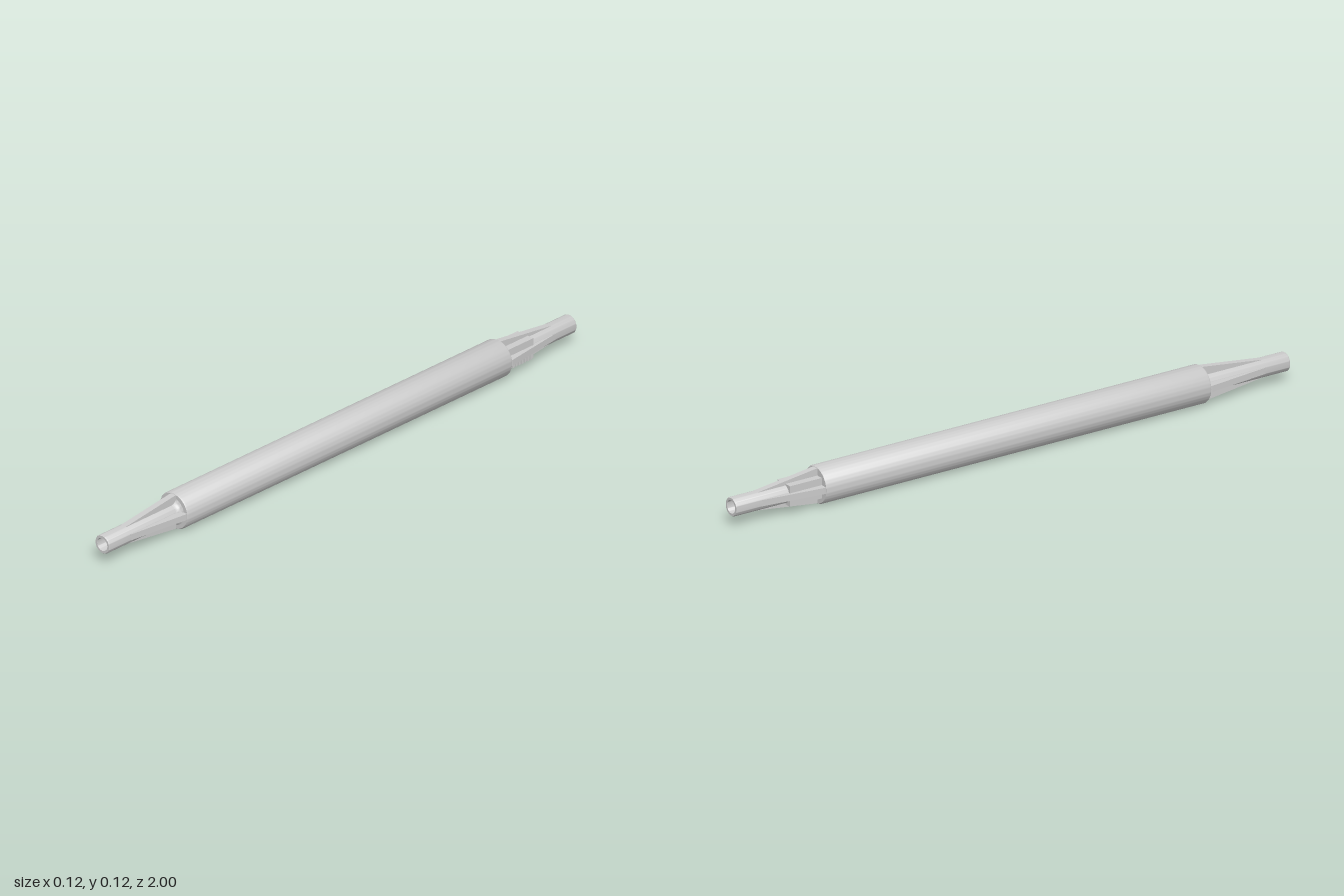
import * as THREE from 'three';
import { toCreasedNormals } from 'three/addons/utils/BufferGeometryUtils.js';

const material = new THREE.MeshStandardMaterial({ color: 0xcccccc });

function add(parent, name, geometry) {
  const mesh = new THREE.Mesh(geometry, material);
  mesh.name = name;
  parent.add(mesh);
  return mesh;
}

// Turned part around the z axis; profile is [radius, z] with z rising on the outside
function turned(profile) {
  const points = profile.map(([r, z]) => new THREE.Vector2(r, z));
  const geometry = new THREE.LatheGeometry(points, 64);
  geometry.rotateX(Math.PI / 2);
  return toCreasedNormals(geometry, 0.6);
}

// Tapered fin running from the barrel end down to the tip tube
function finGeometry() {
  const shape = new THREE.Shape();
  shape.moveTo(0.68, 0.02);
  shape.lineTo(0.91, 0.02);
  shape.lineTo(0.91, 0.029);
  shape.lineTo(0.7, 0.056);
  shape.lineTo(0.68, 0.056);
  const geometry = new THREE.ExtrudeGeometry(shape, { depth: 0.02, bevelEnabled: false });
  geometry.translate(0, 0, -0.01);
  geometry.rotateY(-Math.PI / 2);
  return geometry;
}

// Hollow tip tube with four fins, pointing along +z
function makeTip(name) {
  const tip = new THREE.Group();
  tip.name = name;
  add(tip, 'tipTube', turned([
    [0.03, 0.68], [0.03, 0.997], [0.028, 1], [0.021, 1], [0.02, 0.998], [0.02, 0.72], [0, 0.72],
  ]));
  const fin = finGeometry();
  for (let i = 0; i < 4; i++) add(tip, 'fin', fin).rotation.z = i * Math.PI / 2;
  return tip;
}

export function createModel() {
  const model = new THREE.Group();
  model.name = 'finnedRod';
  const rod = new THREE.Group();
  rod.name = 'rod';
  rod.position.y = 0.06;
  model.add(rod);

  // Main barrel with slightly eased rims
  add(rod, 'barrel', turned([
    [0, -0.695], [0.057, -0.695], [0.06, -0.69], [0.06, 0.69], [0.057, 0.695], [0, 0.695],
  ]));

  // Front tip with a concave collar where it meets the barrel
  const front = makeTip('frontTip');
  const collar = [];
  for (let i = 0; i <= 8; i++) {
    const a = (i / 8) * Math.PI / 2;
    collar.push([0.05 - 0.021 * Math.sin(a), 0.72 - 0.026 * Math.cos(a)]);
  }
  add(front, 'collar', turned(collar));
  rod.add(front);

  // Back tip with a square housing between the fins
  const back = makeTip('backTip');
  back.rotation.y = Math.PI;
  rod.add(back);
  const housing = add(rod, 'housing', new THREE.BoxGeometry(0.066, 0.066, 0.13));
  housing.position.z = -0.745;

  // Row of grip ridges on the lower left side of the housing
  const ridge = new THREE.BoxGeometry(0.012, 0.02, 0.006);
  for (let i = 0; i < 8; i++) {
    add(rod, 'ridge', ridge).position.set(0.032, -0.022, -0.709 - i * 0.0125);
  }
  return model;
}
